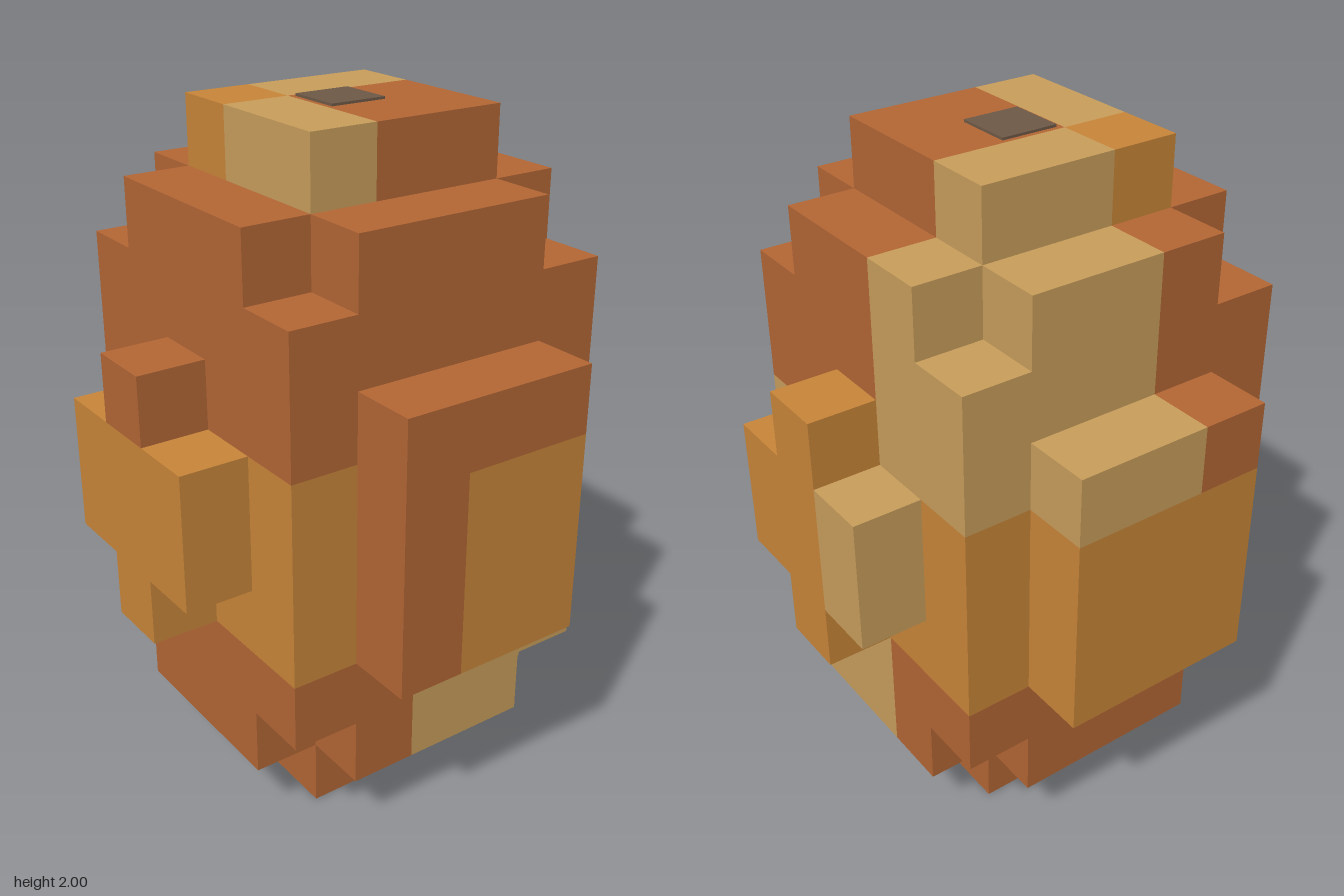
import * as THREE from 'three';
import { mergeGeometries } from 'three/addons/utils/BufferGeometryUtils.js';

const S = 0.1993; // block size
const PLATE = 0.007; // stem plate thickness

function material(name, color) {
  const m = new THREE.MeshStandardMaterial({ color });
  m.name = name;
  return m;
}

// Which part fills the cell (x, y, z); null where it is empty
function partAt(x, y, z) {
  const ax = Math.abs(x), az = Math.abs(z);
  if (y < 0 || y > 9) return null;
  if (y === 0 || y === 9) return ax <= 1 && az <= 1 ? (y ? 'topCap' : 'base') : null;
  if (ax <= 2 && az <= 2) {
    const cutCorner = (y === 1 || y === 8) && ax === 2 && az === 2;
    if (cutCorner) return null;
    return y <= 2 ? 'lowerBody' : y <= 5 ? 'middleBand' : 'upperBody';
  }
  if (y < 3 || y > 6) return null;
  // Side slabs
  if (ax === 3 && az <= 1) return x > 0 ? 'leftSlab' : 'rightSlab';
  // Cross-shaped bumps
  if (az === 3 && (x === 0 || (ax === 1 && (y === 4 || y === 5)))) return z > 0 ? 'frontCross' : 'backCross';
  return null;
}

// Colour patches of the shell
function colourAt(x, y, z) {
  if (z === -3) return x === -1 ? 'tan' : 'orange';
  if (y <= 2) return x >= 0 && z <= 0 ? 'tan' : 'brown';
  if (y <= 5) {
    if (z === -2 && x >= 0) return 'tan';
    return x === 3 && z === 1 ? 'brown' : 'orange';
  }
  if (y === 9 && z === 1) return x === -1 ? 'orange' : 'tan';
  return x <= -1 && z <= 0 ? 'tan' : 'brown';
}

const DIRECTIONS = [[1, 0, 0], [-1, 0, 0], [0, 1, 0], [0, -1, 0], [0, 0, 1], [0, 0, -1]];

// One block face, turned towards the direction d
function blockFace(x, y, z, d) {
  const g = new THREE.PlaneGeometry(S, S);
  if (d[1]) g.rotateX(-d[1] * Math.PI / 2);
  else if (d[0]) g.rotateY(d[0] * Math.PI / 2);
  else if (d[2] < 0) g.rotateY(Math.PI);
  return g.translate((x + d[0] / 2) * S, (y + 0.5 + d[1] / 2) * S, (z + d[2] / 2) * S);
}

export function createModel() {
  const model = new THREE.Group();
  model.name = 'blockEgg';
  const materials = {
    brown: material('brown', 0xb56735),
    orange: material('orange', 0xc98639),
    tan: material('tan', 0xc99e5c),
    stem: material('stem', 0x6f5947),
  };

  // Gather the outer faces by part and colour
  const parts = {};
  for (let y = 0; y <= 9; y++) {
    for (let x = -3; x <= 3; x++) {
      for (let z = -3; z <= 3; z++) {
        const part = partAt(x, y, z);
        if (!part) continue;
        for (const d of DIRECTIONS) {
          if (partAt(x + d[0], y + d[1], z + d[2])) continue;
          const colours = (parts[part] ??= {});
          (colours[colourAt(x, y, z)] ??= []).push(blockFace(x, y, z, d));
        }
      }
    }
  }

  // One group per part, one mesh per colour
  for (const [part, colours] of Object.entries(parts)) {
    const group = new THREE.Group();
    group.name = part;
    for (const [colour, faces] of Object.entries(colours)) {
      const mesh = new THREE.Mesh(mergeGeometries(faces), materials[colour]);
      mesh.name = `${part} ${colour}`;
      group.add(mesh);
    }
    model.add(group);
  }

  // Small square plate on top
  const plate = new THREE.Mesh(new THREE.BoxGeometry(0.17, PLATE, 0.17), materials.stem);
  plate.name = 'stemPlate';
  plate.position.y = 10 * S + PLATE / 2;
  model.add(plate);
  return model;
}
